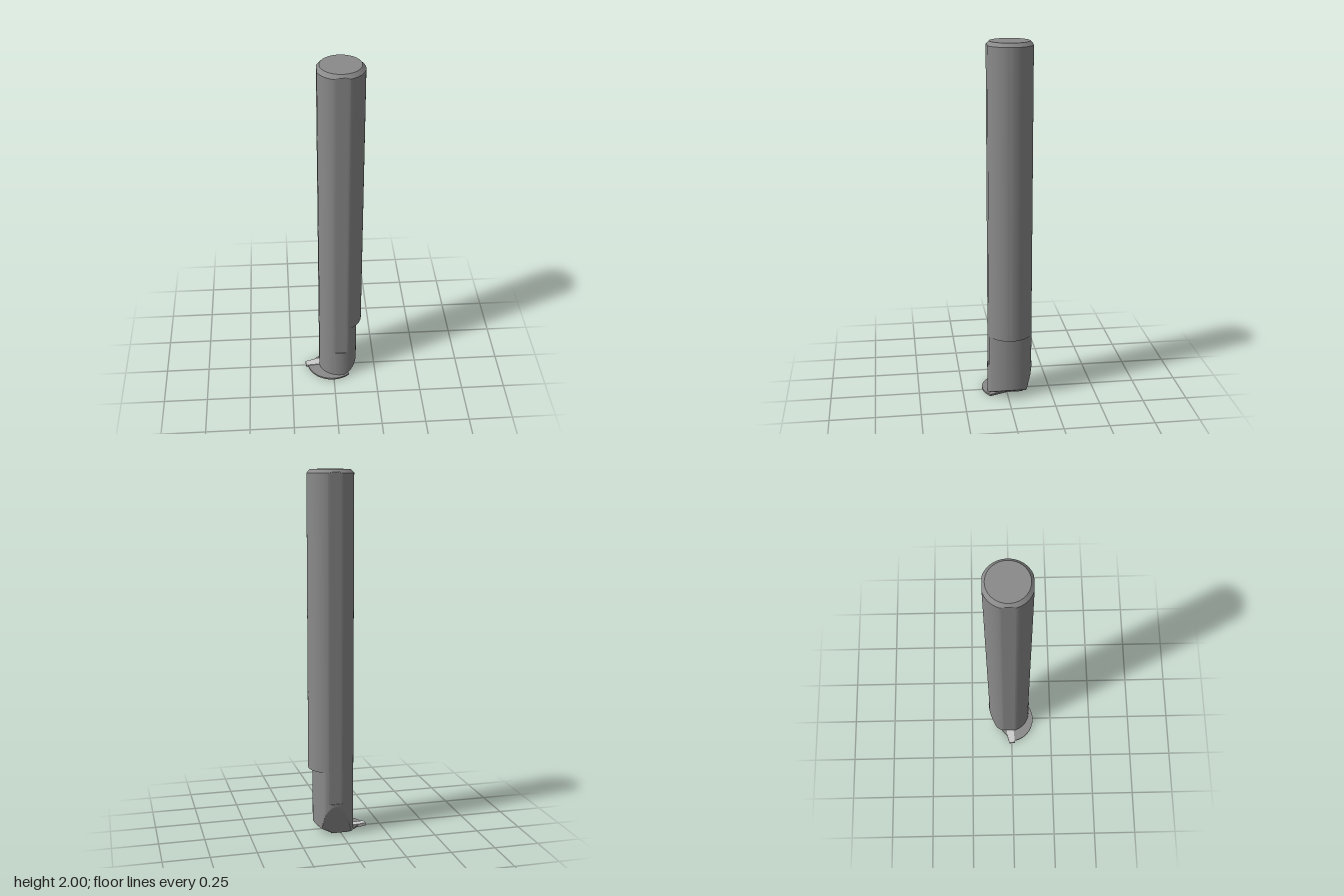
import * as THREE from 'three';
import { toCreasedNormals } from 'three/addons/utils/BufferGeometryUtils.js';

const steel = new THREE.MeshStandardMaterial({ color: 0x8a8a8a });
const carbide = new THREE.MeshStandardMaterial({ color: 0xd2d2d2 });

// Bar axis and radius
const CX = 0.04, CZ = -0.015, R = 0.126;

// Round bar trimmed by planes nx*x + nz*z <= d + slope*y
function trimmedBar(name, heights, radiusAt, planes) {
  const N = 144, pos = [], index = [];
  for (const y of heights) {
    for (let i = 0; i < N; i++) {
      const a = (i / N) * Math.PI * 2, c = Math.cos(a), s = Math.sin(a);
      let r = radiusAt(y, c, s);
      for (const [nx, nz, d, slope = 0] of planes) {
        const along = nx * c + nz * s;
        if (along > 1e-4) r = Math.min(r, (d + slope * y - nx * CX - nz * CZ) / along);
      }
      pos.push(CX + r * c, y, CZ + r * s);
    }
  }
  const last = heights.length - 1, bottom = heights.length * N, top = bottom + 1;
  pos.push(CX, heights[0], CZ, CX, heights[last], CZ);
  for (let i = 0; i < N; i++) {
    const n = (i + 1) % N;
    for (let j = 0; j < last; j++) {
      const a = j * N + i, b = j * N + n;
      index.push(a, a + N, b, b, a + N, b + N);
    }
    index.push(bottom, i, n, top, last * N + n, last * N + i);
  }
  const geo = new THREE.BufferGeometry();
  geo.setAttribute('position', new THREE.Float32BufferAttribute(pos, 3));
  geo.setIndex(index);
  const mesh = new THREE.Mesh(toCreasedNormals(geo, 0.3), steel);
  mesh.name = name;
  return mesh;
}

// Flat plate from an outline of [x, z] points
function plate(name, outline, y, height, material) {
  const shape = new THREE.Shape(outline.map(([x, z]) => new THREE.Vector2(x, -z)));
  const geo = new THREE.ExtrudeGeometry(shape, { depth: height, bevelEnabled: false });
  geo.rotateX(-Math.PI / 2);
  geo.translate(0, y, 0);
  const mesh = new THREE.Mesh(toCreasedNormals(geo, 0.3), material);
  mesh.name = name;
  return mesh;
}

export function createModel() {
  const group = new THREE.Group();
  group.name = 'boringBar';

  const sideFlat = [-1, 0, 0.08];
  const frontFlat = [0, 1, 0.105];
  const backFlat = [0, -1, 0.135];

  // Shank with three flats and a chamfered end
  group.add(trimmedBar('shank', [0.37, 1.975, 1.98, 1.983, 1.986, 1.99, 1.995, 2],
    y => R - 0.019 * Math.max(0, (y - 1.98) / 0.02),
    [sideFlat, frontFlat, backFlat]));

  // Neck section: bar round, shaved on the left by a wider arc
  const neckRadius = (y, c, s) =>
    Math.min(R, -0.07 * c + Math.sqrt(0.17 ** 2 - (0.07 * s) ** 2));
  group.add(trimmedBar('neck', [0.188, 0.37], neckRadius, [sideFlat, frontFlat, backFlat]));

  // Head: no front or back flat, but a bottom bevel and a sloped back relief
  const headHeights = [];
  for (let i = 0; i <= 45; i++) headHeights.push(0.008 + i * 0.004);
  group.add(trimmedBar('head', headHeights, neckRadius, [
    sideFlat,
    [1, 0, 0.042, 1.78],
    [0, -1, 0.094, 0.27],
  ]));

  // Thin curved blade below the head
  const blade = [];
  for (let i = 0; i <= 40; i++) {
    const a = THREE.MathUtils.lerp(2.95, 0.84, i / 40);
    blade.push([-0.005 + 0.147 * Math.cos(a), -0.01 + 0.147 * Math.sin(a)]);
  }
  blade.push([0.056, 0], [0.056, -0.09], [-0.045, -0.09], [-0.08, -0.06], [-0.115, -0.03], [-0.12, 0]);
  group.add(plate('blade', blade, 0.003, 0.01, steel));

  // Cutting tip
  group.add(plate('cuttingTip', [
    [-0.165, -0.015], [-0.125, -0.026], [-0.08, -0.031], [-0.03, -0.031],
    [-0.03, 0.009], [-0.08, 0.013], [-0.161, 0.02],
  ], 0, 0.017, carbide));

  return group;
}
